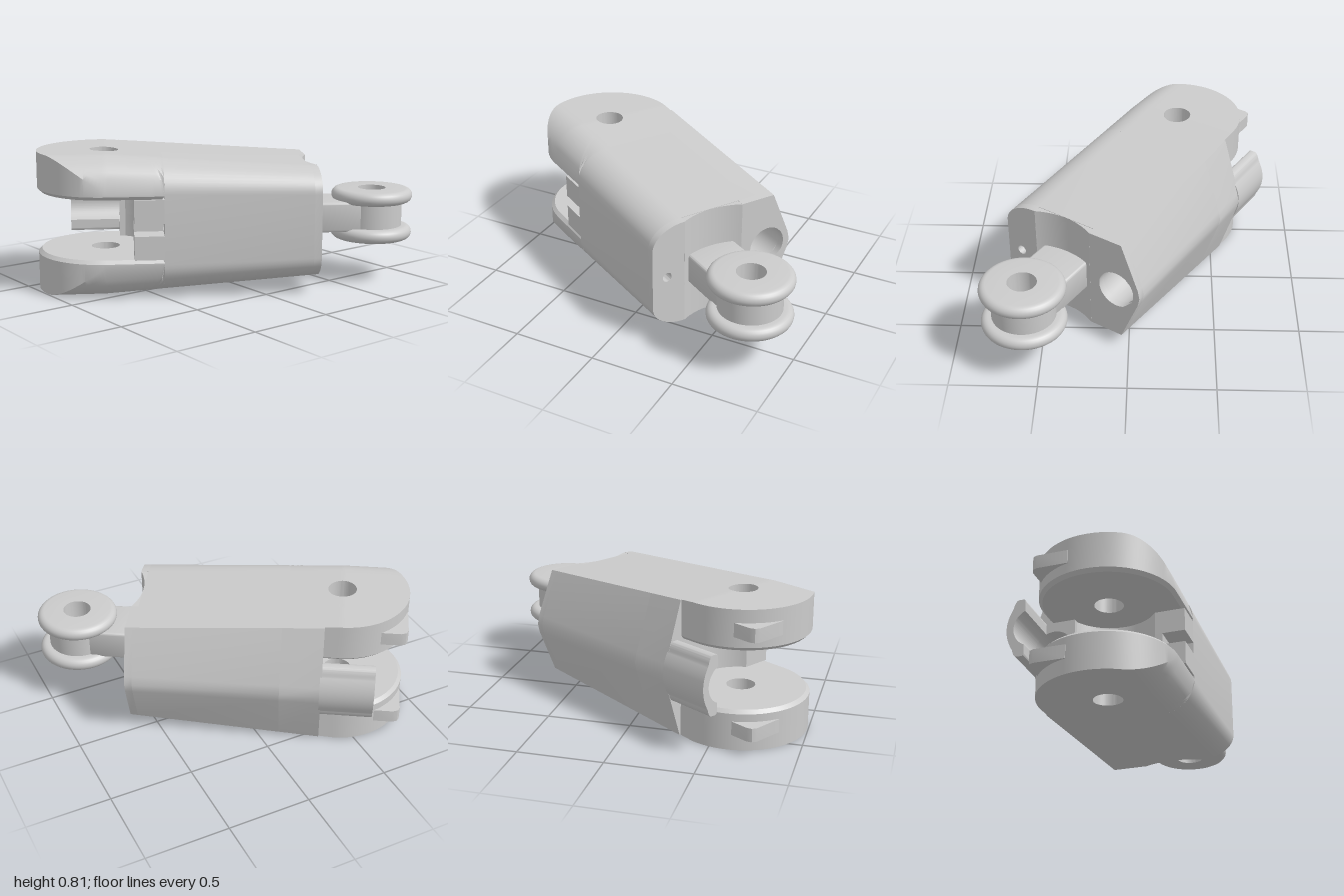
import * as THREE from 'three';
import { toCreasedNormals } from 'three/addons/utils/BufferGeometryUtils.js';
import { RoundedBoxGeometry } from 'three/addons/geometries/RoundedBoxGeometry.js';

// Local frame: v = across (x), y = up, u = along the segment (u = -z), origin at the front axle.
const H = 0.815, C = H / 2;          // front height and mid height
const SIDE = 0.393, ROUND = 0.2;     // right side and its edge rounding
const HOLE = 0.083;                  // axle bore
const END = 1.228, ROOT = 0.33;      // rear end, root of the fork
const RING_U = 1.604;

const material = new THREE.MeshStandardMaterial({ color: 0xcccccc });

function add(group, name, geometry, crease = 0.6) {
  const mesh = new THREE.Mesh(toCreasedNormals(geometry, crease), material);
  mesh.name = name;
  group.add(mesh);
  return mesh;
}

// The body gets lower towards the rear; the middle band with the bores stays.
function taper(y, u) {
  const d = y - C;
  const t = THREE.MathUtils.clamp((Math.abs(d) - 0.13) / (C - 0.13), 0, 1);
  return y - Math.sign(d) * 0.069 * Math.max(u, 0) * t;
}

// Cross-section of the body between v0 and v1: ridged left side, rounded right side
function section(v0, v1, bores) {
  const pts = [];
  const put = (v, y) => pts.push(new THREE.Vector2(v, y));
  if (v1 >= SIDE) {
    for (let i = 0; i <= 12; i++) {
      const a = -Math.PI / 2 + (i / 12) * Math.PI / 2;
      put(SIDE - ROUND + ROUND * Math.cos(a), ROUND + ROUND * Math.sin(a));
    }
    for (let i = 0; i <= 12; i++) {
      const a = (i / 12) * Math.PI / 2;
      put(SIDE - ROUND + ROUND * Math.cos(a), H - ROUND + ROUND * Math.sin(a));
    }
  } else {
    put(v1, 0);
    put(v1, H);
  }
  if (v0 < -0.4) {
    put(-0.4, H);
    put(-0.51, C + 0.055);
    put(-0.522, C);
    put(-0.51, C - 0.055);
    put(-0.4, 0);
  } else {
    put(v0, H);
    put(v0, 0);
  }
  const shape = new THREE.Shape(pts);
  for (const [v, r] of bores) shape.holes.push(new THREE.Path().absarc(v, C, r, 0, Math.PI * 2, true));
  return shape;
}

// Extrude a cross-section from u0 to u1 and taper it
function along(shape, u0, u1) {
  const g = new THREE.ExtrudeGeometry(shape, { depth: u1 - u0, bevelEnabled: false, curveSegments: 24 });
  g.translate(0, 0, -u1);
  const p = g.attributes.position;
  for (let i = 0; i < p.count; i++) p.setY(i, taper(p.getY(i), -p.getZ(i)));
  return g;
}

// Extrude a plan outline of [v, u] points from y0 to y1
function plan(points, y0, y1) {
  const shape = new THREE.Shape(points.map(([v, u]) => new THREE.Vector2(v, u)));
  const g = new THREE.ExtrudeGeometry(shape, { depth: y1 - y0, bevelEnabled: false });
  return g.rotateX(-Math.PI / 2).translate(0, y0, 0);
}

// Fork cheek: rings around the axle bore, round at the front and square at the root
function forkCheek(flip) {
  const corner = Math.atan2(ROOT, SIDE), angles = [corner, Math.PI - corner];
  for (let i = 0; i < 120; i++) angles.push((i / 120) * Math.PI * 2);
  angles.sort((a, b) => a - b);
  const pos = [], idx = [], rings = 16, low = 0.58;
  const n = rings + 4;
  for (const a of angles) {
    const c = Math.cos(a), s = Math.sin(a);
    const R = s <= 1e-6 ? SIDE : Math.min(SIDE / Math.max(Math.abs(c), 1e-6), ROOT / s);
    const put = (r, y) => pos.push(r * c, flip ? H - y : y, -r * s);
    put(HOLE, low);
    for (let k = 0; k <= rings; k++) {
      const r = HOLE + (R - HOLE) * (k / rings);
      const e = THREE.MathUtils.clamp((r * c - SIDE + ROUND) / ROUND, 0, 1);
      put(r, taper(H - ROUND * (1 - Math.sqrt(1 - e * e)), r * s));
    }
    put(R, low + 0.02);
    put(R - 0.02, low);
  }
  const m = angles.length;
  for (let i = 0; i < m; i++) {
    for (let j = 0; j < n; j++) {
      const i2 = (i + 1) % m, j2 = (j + 1) % n;
      const a = i * n + j, b = i * n + j2, c = i2 * n + j, d = i2 * n + j2;
      if (flip) idx.push(a, c, b, b, c, d);
      else idx.push(a, b, c, b, d, c);
    }
  }
  const g = new THREE.BufferGeometry();
  g.setAttribute('position', new THREE.Float32BufferAttribute(pos, 3));
  g.setIndex(idx);
  return g;
}

export function createModel() {
  const model = new THREE.Group();
  model.name = 'fingerSegment';
  const part = new THREE.Group();
  part.name = 'segment';
  part.position.set(-0.27, 0, 0.6);
  part.rotation.y = -THREE.MathUtils.degToRad(32);
  model.add(part);

  // Main body with the large and the small cord bore
  const big = [-0.366, 0.115], small = [0.3, 0.028];
  add(part, 'body', along(section(-0.53, SIDE, [big, small]), ROOT, 1.184));
  add(part, 'leftRoot', along(section(-0.53, -0.24, [big]), 0.09, ROOT));
  add(part, 'rearLeftEnd', along(section(-0.53, -0.187, [big]), 1.184, END));
  add(part, 'rearRightEnd', along(section(0.187, SIDE, [small]), 1.184, END));

  // Hollow in the rear end, concentric with the ring
  const hollow = [[-0.188, 1.17]];
  for (let i = 0; i <= 16; i++) {
    const v = 0.188 - (i / 16) * 0.376;
    hollow.splice(1, 0, [v, RING_U - Math.sqrt(0.42 * 0.42 - v * v)]);
  }
  hollow.unshift([0.188, 1.17]);
  hollow.push(hollow.splice(1, 1)[0]);
  const arc = hollow.filter(([, u]) => u > 1.175).sort((a, b) => b[0] - a[0]);
  add(part, 'rearHollow', plan([[-0.188, 1.17], [0.188, 1.17], ...arc], 0.084, 0.731));

  // Root of the fork slot: round pocket, with a cord groove in the right side
  const slotWall = (right) => {
    const pts = [[-0.24, ROOT], [-0.24, 0.124]];
    for (let i = 1; i <= 24; i++) {
      const a = THREE.MathUtils.lerp(Math.atan2(0.124, -0.24), Math.atan2(0.16, 0.217), i / 24);
      pts.push([0.27 * Math.cos(a), 0.27 * Math.sin(a)]);
    }
    pts.push([right, 0.16], [right, ROOT]);
    return pts;
  };
  add(part, 'slotRootLow', plan(slotWall(SIDE), 0.235, 0.372));
  add(part, 'slotRootGroove', plan(slotWall(0.26), 0.372, 0.442));
  add(part, 'slotRootHigh', plan(slotWall(SIDE), 0.442, 0.58));

  // Fork cheeks, each with a stop tab
  for (const flip of [false, true]) {
    const side = flip ? 'lower' : 'upper';
    add(part, side + 'ForkCheek', forkCheek(flip));
    const tab = [[-0.1, -0.2], [-0.318, -0.2], [-0.318, -0.345], [-0.306, -0.373], [-0.28, -0.385], [-0.1, -0.385]];
    const y = flip ? 0.09 : 0.66;
    add(part, side + 'StopTab', plan(tab, y, y + 0.08));
  }

  // Prong: outer wall of the cord channel reaching forward
  const prong = new THREE.Shape();
  prong.moveTo(-0.415, 0.25);
  const a0 = Math.atan2(0.104, -0.049);
  prong.lineTo(-0.415, C - 0.104);
  prong.absarc(big[0], C, big[1], -a0, a0 - Math.PI * 2, true);
  prong.absarc(big[0], C, big[1], a0 - Math.PI * 2, a0 - Math.PI * 2, true);
  prong.lineTo(-0.415, 0.57);
  prong.quadraticCurveTo(-0.415, 0.585, -0.43, 0.585);
  prong.lineTo(-0.455, 0.585);
  prong.quadraticCurveTo(-0.475, 0.58, -0.485, 0.535);
  prong.quadraticCurveTo(-0.56, C, -0.485, 0.28);
  prong.quadraticCurveTo(-0.475, 0.235, -0.455, 0.235);
  prong.lineTo(-0.43, 0.235);
  prong.quadraticCurveTo(-0.415, 0.235, -0.415, 0.25);
  add(part, 'prong', along(prong, -0.212, 0.1));

  // Arm and grooved ring at the rear
  const arm = new RoundedBoxGeometry(0.306, 0.18, 0.42, 3, 0.015);
  add(part, 'arm', arm.translate(0, 0.405, -1.31));

  const profile = [[HOLE, 0.252]];
  const rim = (y) => {
    for (let i = 0; i <= 10; i++) {
      const a = -Math.PI / 2 + (i / 10) * Math.PI;
      profile.push([0.202 + 0.04 * Math.cos(a), y + 0.04 * Math.sin(a)]);
    }
  };
  rim(0.292);
  profile.push([0.182, 0.332], [0.182, 0.476]);
  rim(0.516);
  profile.push([HOLE, 0.556], [HOLE, 0.252]);
  const ring = new THREE.LatheGeometry(profile.map(([r, y]) => new THREE.Vector2(r, y)), 64);
  add(part, 'ring', ring.translate(0, 0, -RING_U));

  return model;
}
